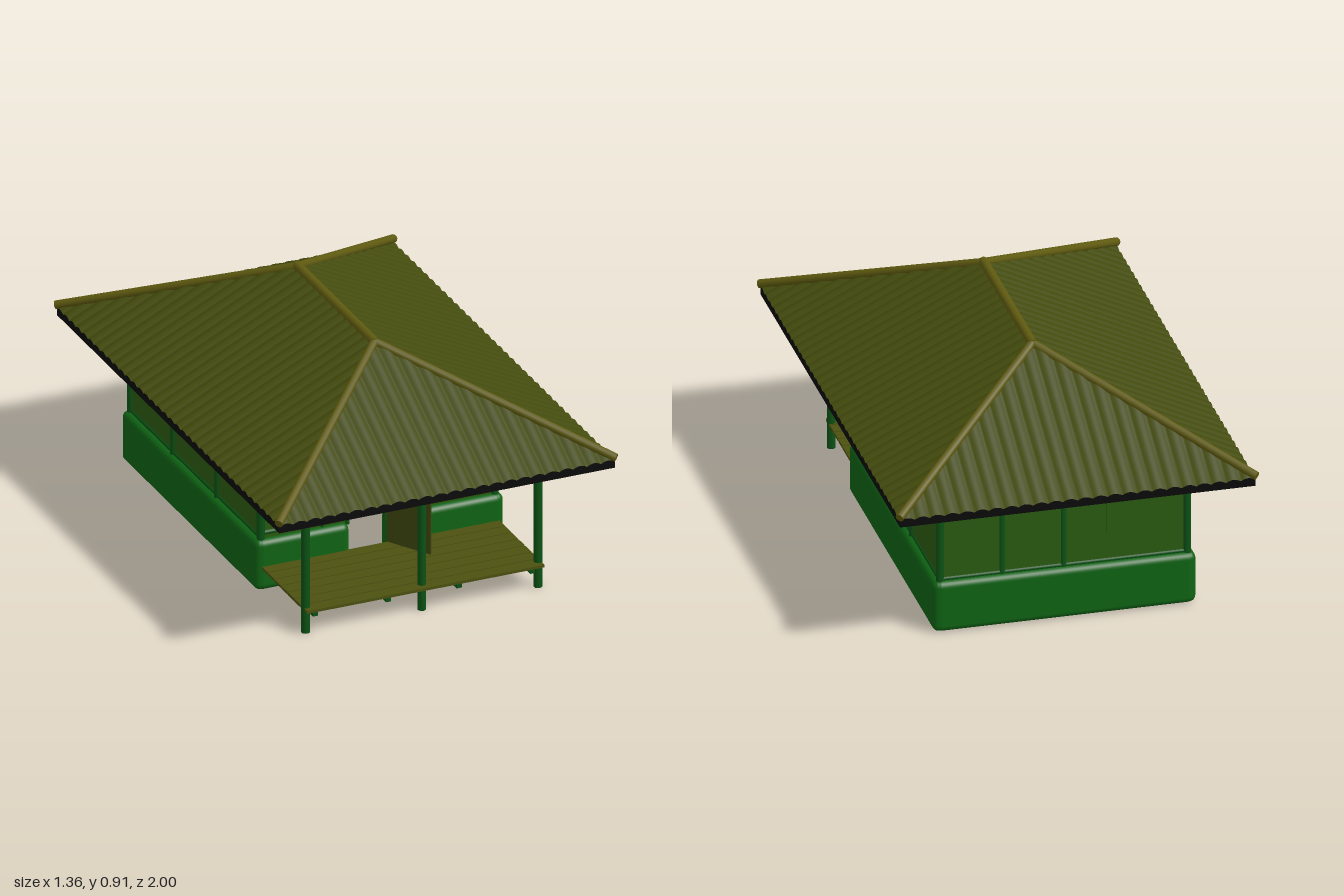
import * as THREE from 'three';
import { RoundedBoxGeometry } from 'three/addons/geometries/RoundedBoxGeometry.js';

const mat = (color) => new THREE.MeshStandardMaterial({ color });
const roofMat = mat(0x424a0c), edgeMat = mat(0x0a0a0a), poleMat = mat(0x5f5a10);
const postMat = mat(0x0c5214), panelMat = mat(0x2a5a10), baseMat = mat(0x0f6414);
const deckMat = mat(0x4c5210), doorMat = mat(0x40480e);
roofMat.side = edgeMat.side = THREE.DoubleSide;

// Roof dimensions: half width, half length, hip run along z, heights
const W = 0.665, L = 0.985, RUN = 0.645, EAVE = 0.57, TOP = 0.895, UNDER = 0.545;

export function createModel() {
  const root = new THREE.Group();

  function add(name, geometry, material, x = 0, y = 0, z = 0, parent = root) {
    const m = new THREE.Mesh(geometry, material);
    m.name = name;
    m.position.set(x, y, z);
    parent.add(m);
    return m;
  }
  // Box given by its two opposite corners
  function box(name, x0, x1, y0, y1, z0, z1, material, radius = 0) {
    const s = [x1 - x0, y1 - y0, z1 - z0];
    const g = radius ? new RoundedBoxGeometry(...s, 4, radius) : new THREE.BoxGeometry(...s);
    return add(name, g, material, (x0 + x1) / 2, (y0 + y1) / 2, (z0 + z1) / 2);
  }
  // Round pole between two points
  function pole(name, a, b, r, material = postMat) {
    const p = new THREE.Vector3(...a), q = new THREE.Vector3(...b);
    const d = q.clone().sub(p);
    const m = add(name, new THREE.CylinderGeometry(r, r, d.length(), 12), material);
    m.position.copy(p).add(q).multiplyScalar(0.5);
    m.quaternion.setFromUnitVectors(new THREE.Vector3(0, 1, 0), d.normalize());
    return m;
  }

  // Strip of columns along an eave; column(s) returns its bottom and top points
  function strip(half, steps, column) {
    const pos = [], idx = [];
    for (let i = 0; i <= steps; i++) {
      const [a, b] = column(-half + (2 * half * i) / steps);
      pos.push(...a, ...b);
      if (i < steps) idx.push(2 * i, 2 * i + 2, 2 * i + 3, 2 * i, 2 * i + 3, 2 * i + 1);
    }
    const g = new THREE.BufferGeometry();
    g.setAttribute('position', new THREE.Float32BufferAttribute(pos, 3));
    g.setIndex(idx);
    g.computeVertexNormals();
    return g;
  }

  // Corrugated hip roof: one slope per side, with dark edge and underside
  function roofSide(half, dist, run, otherRun, waves, angle) {
    const g = new THREE.Group();
    g.name = 'roofSlope';
    g.rotation.y = angle;
    root.add(g);
    const wave = (s) => 0.009 * Math.abs(Math.sin(((s + half) / (2 * half)) * waves * Math.PI));
    const rise = (s) => Math.min(1, (half - Math.abs(s)) / otherRun);
    const slope = (s, y, drop) => {
      const t = rise(s);
      return [[s, y, dist], [s, y + (TOP - EAVE) * t - drop, dist - run * t]];
    };
    add('corrugatedSheet', strip(half, waves * 8, (s) => slope(s, EAVE + wave(s), 0)), roofMat, 0, 0, 0, g);
    add('roofUnderside', strip(half, 40, (s) => slope(s, UNDER, 0)), edgeMat, 0, 0, 0, g);
    add('eaveEdge', strip(half, waves * 8, (s) => [[s, UNDER, dist], [s, EAVE + wave(s), dist]]), edgeMat, 0, 0, 0, g);
  }
  for (const k of [0, 1]) {
    roofSide(W, L, RUN, W, 24, k * Math.PI);
    roofSide(L, W, W, RUN, 36, Math.PI / 2 + k * Math.PI);
  }

  // Ridge and hip poles
  const rz = L - RUN;
  pole('ridgePole', [0, 0.897, -rz - 0.01], [0, 0.897, rz + 0.01], 0.018, poleMat);
  for (const sx of [-1, 1]) for (const sz of [-1, 1])
    pole('hipPole', [sx * 0.668, 0.585, sz * 0.988], [0, 0.897, sz * rz], 0.016, poleMat);

  // Rounded base wall with a gap for the doorway
  const B = 0.01, T = 0.21;
  for (const s of [-1, 1])
    box('sideBase', s < 0 ? -0.492 : 0.415, s < 0 ? -0.415 : 0.492, B, T, -0.808, 0.395, baseMat, 0.025);
  box('backBase', -0.485, 0.485, B, T, -0.81, -0.735, baseMat, 0.025);
  box('frontBaseRight', -0.485, -0.12, B, T, 0.32, 0.397, baseMat, 0.025);
  box('frontBaseLeft', 0.03, 0.485, B, T, 0.32, 0.397, baseMat, 0.025);

  // Thin upper wall panels
  const P0 = 0.205, P1 = 0.6;
  for (const s of [-1, 1])
    box('sidePanel', s * 0.46 - 0.005, s * 0.46 + 0.005, P0, P1, -0.78, 0.37, panelMat);
  box('backPanel', -0.46, 0.46, P0, P1, -0.785, -0.775, panelMat);
  box('frontPanelRight', -0.46, -0.12, P0, P1, 0.36, 0.37, panelMat);
  box('frontPanelLeft', 0.03, 0.46, P0, P1, 0.36, 0.37, panelMat);
  box('backHatch', -0.33, -0.16, 0.32, 0.47, -0.789, -0.771, panelMat);

  // Wall posts, sills and top beams
  for (const s of [-1, 1]) {
    for (const z of [0.368, -0.01, -0.4, -0.78])
      pole('sidePost', [s * 0.462, 0.2, z], [s * 0.462, P1, z], 0.015);
    pole('sideSill', [s * 0.462, 0.215, -0.78], [s * 0.462, 0.215, 0.37], 0.009);
    pole('sideTopBeam', [s * 0.462, 0.585, -0.78], [s * 0.462, 0.585, 0.77], 0.014);
  }
  for (const x of [0.23, 0]) pole('backPost', [x, 0.2, -0.78], [x, P1, -0.78], 0.012);
  for (const x of [-0.22, -0.12, 0.03]) pole('frontPost', [x, 0.2, 0.368], [x, P1, 0.368], 0.008);
  pole('backSill', [-0.46, 0.215, -0.78], [0.46, 0.215, -0.78], 0.009);
  pole('frontSill', [-0.46, 0.232, 0.368], [-0.12, 0.232, 0.368], 0.009);
  for (const z of [-0.78, 0.368, 0.76])
    pole('crossBeam', [-0.47, 0.585, z], [0.47, 0.585, z], 0.014);

  // Door standing open on its hinge
  const hinge = new THREE.Group();
  hinge.name = 'door';
  hinge.position.set(0.03, 0.25, 0.385);
  hinge.rotation.y = -Math.atan2(0.165, 0.1);
  root.add(hinge);
  add('doorLeaf', new THREE.BoxGeometry(0.193, 0.45, 0.008), doorMat, 0.0965, 0, 0, hinge);

  // Veranda: posts, joists and planks
  for (const x of [-0.46, 0, 0.46]) {
    pole('verandaPost', [x, 0.008, 0.76], [x, 0.6, 0.76], 0.016);
    if (x === 0) pole('deckStub', [x, 0.008, 0.45], [x, 0.09, 0.45], 0.012);
  }
  for (const x of [-0.43, -0.14, 0.14, 0.43])
    box('deckJoist', x - 0.01, x + 0.01, 0.074, 0.098, 0.38, 0.78, postMat);
  const planks = 7, pitch = 0.41 / planks;
  for (let i = 0; i < planks; i++) {
    const z = 0.392 + i * pitch;
    box('deckPlank', -0.47, 0.47, 0.098, 0.109, z, z + pitch - 0.006, deckMat);
  }
  return root;
}
